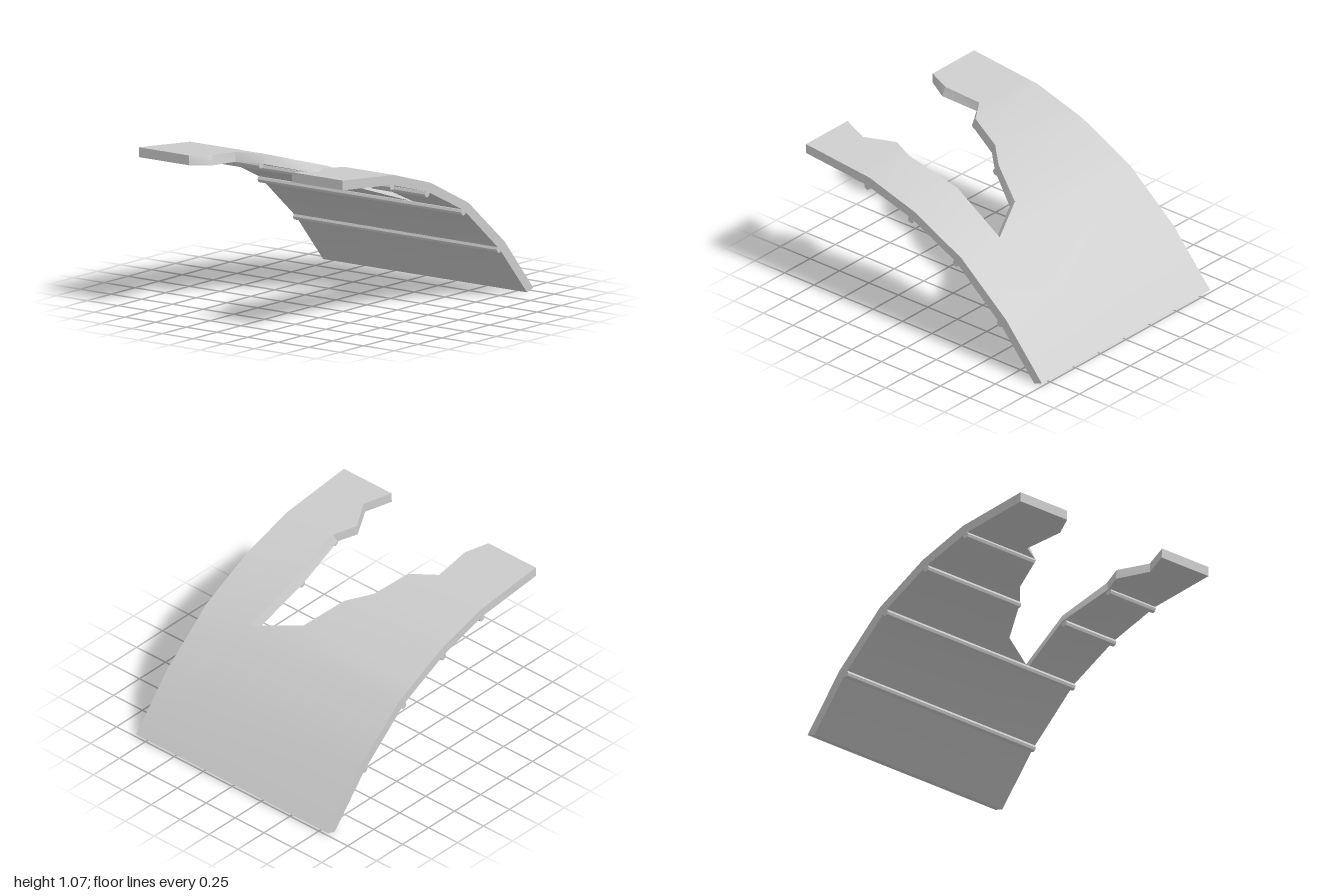
import * as THREE from 'three';
import { toCreasedNormals } from 'three/addons/utils/BufferGeometryUtils.js';

const HALF = 0.83;
// bent profile (x, y) of the outer and inner skins
const OUTER = [[-1, 1.065], [-0.46, 1.01], [-0.08, 0.895], [0.32, 0.695], [0.7, 0.375], [1, 0.02]];
const INNER = [[-1, 1.0], [-0.49, 0.95], [-0.11, 0.84], [0.27, 0.655], [0.65, 0.33], [0.935, 0]];

// broken edges: [outer x, outer z, inner x, inner z], both ending at the notch tip
const TIP = [0.32, 0.455, 0.27, 0.43];
const BACK_EDGE = [
  [-1, -0.42, -1, -0.42], [-0.84, -0.36, -0.85, -0.34], [-0.57, -0.38, -0.575, -0.37],
  [-0.46, -0.215, -0.49, -0.215], [-0.22, -0.13, -0.24, -0.12], [-0.08, 0, -0.11, 0],
  [0.17, 0.13, 0.13, 0.135], TIP,
];
const FRONT_EDGE = [
  [-1, 0.42, -1, 0.415], [-0.81, 0.49, -0.82, 0.485], [-0.62, 0.375, -0.62, 0.37],
  [-0.46, 0.44, -0.49, 0.425], [-0.08, 0.405, -0.11, 0.38], TIP,
];
// whole plate beyond the notch
const LOWER = [4, 5].map((i) => [OUTER[i][0], TIP[1], INNER[i][0], TIP[3]]);

function heightAt(profile, x) {
  let i = 0;
  while (i < profile.length - 2 && x > profile[i + 1][0]) i++;
  const [a, b] = [profile[i], profile[i + 1]];
  return a[1] + (b[1] - a[1]) * (x - a[0]) / (b[0] - a[0]);
}

// loft one strip between an outer rim (z = rim) and the broken edge
function addStrip(out, edge, rim) {
  const stations = [...edge, ...LOWER];
  const quad = (a, b, c, d) => out.push(...a, ...b, ...c, ...a, ...c, ...d);
  const rings = stations.map(([xo, zo, xi, zi]) => {
    const yo = heightAt(OUTER, xo), yi = heightAt(INNER, xi);
    return rim < 0
      ? [[xo, yo, rim], [xo, yo, zo], [xi, yi, zi], [xi, yi, rim]]
      : [[xo, yo, zo], [xo, yo, rim], [xi, yi, rim], [xi, yi, zi]];
  });
  const brokenSide = rim < 0 ? 1 : 3;
  for (let s = 0; s < rings.length - 1; s++) {
    const A = rings[s], B = rings[s + 1];
    for (let i = 0; i < 4; i++) {
      // no wall where the two strips join into one plate
      if (i === brokenSide && s >= edge.length - 1) continue;
      const j = (i + 1) % 4;
      quad(A[i], A[j], B[j], B[i]);
    }
  }
  const first = rings[0], last = rings[rings.length - 1];
  quad(first[3], first[2], first[1], first[0]);
  quad(last[0], last[1], last[2], last[3]);
}

export function createModel() {
  const group = new THREE.Group();
  group.name = 'brokenCurvedPanel';

  // curved plate with jagged notch
  const points = [];
  addStrip(points, BACK_EDGE, -HALF);
  addStrip(points, FRONT_EDGE, HALF);
  const geometry = new THREE.BufferGeometry();
  geometry.setAttribute('position', new THREE.Float32BufferAttribute(points, 3));
  const plate = new THREE.Mesh(
    toCreasedNormals(geometry, 0.4),
    new THREE.MeshStandardMaterial({ color: 0xcccccc }),
  );
  plate.name = 'curvedPlate';
  group.add(plate);

  // support rods under each bend, interrupted by the notch
  const rodMaterial = new THREE.MeshStandardMaterial({ color: 0xcccccc, flatShading: true });
  const ribs = new THREE.Group();
  ribs.name = 'supportRods';
  const rods = [
    [-0.482, 0.938, -HALF, -0.235], [-0.482, 0.938, 0.435, HALF],
    [-0.112, 0.826, -HALF, -0.01], [-0.112, 0.826, 0.39, HALF],
    [0.27, 0.642, -HALF, HALF], [0.643, 0.333, -HALF, HALF],
  ];
  for (const [x, y, z0, z1] of rods) {
    const rod = new THREE.Mesh(new THREE.CylinderGeometry(0.024, 0.024, z1 - z0, 8), rodMaterial);
    rod.rotation.x = Math.PI / 2;
    rod.position.set(x, y, (z0 + z1) / 2);
    rod.name = 'supportRod';
    ribs.add(rod);
  }
  group.add(ribs);
  return group;
}
